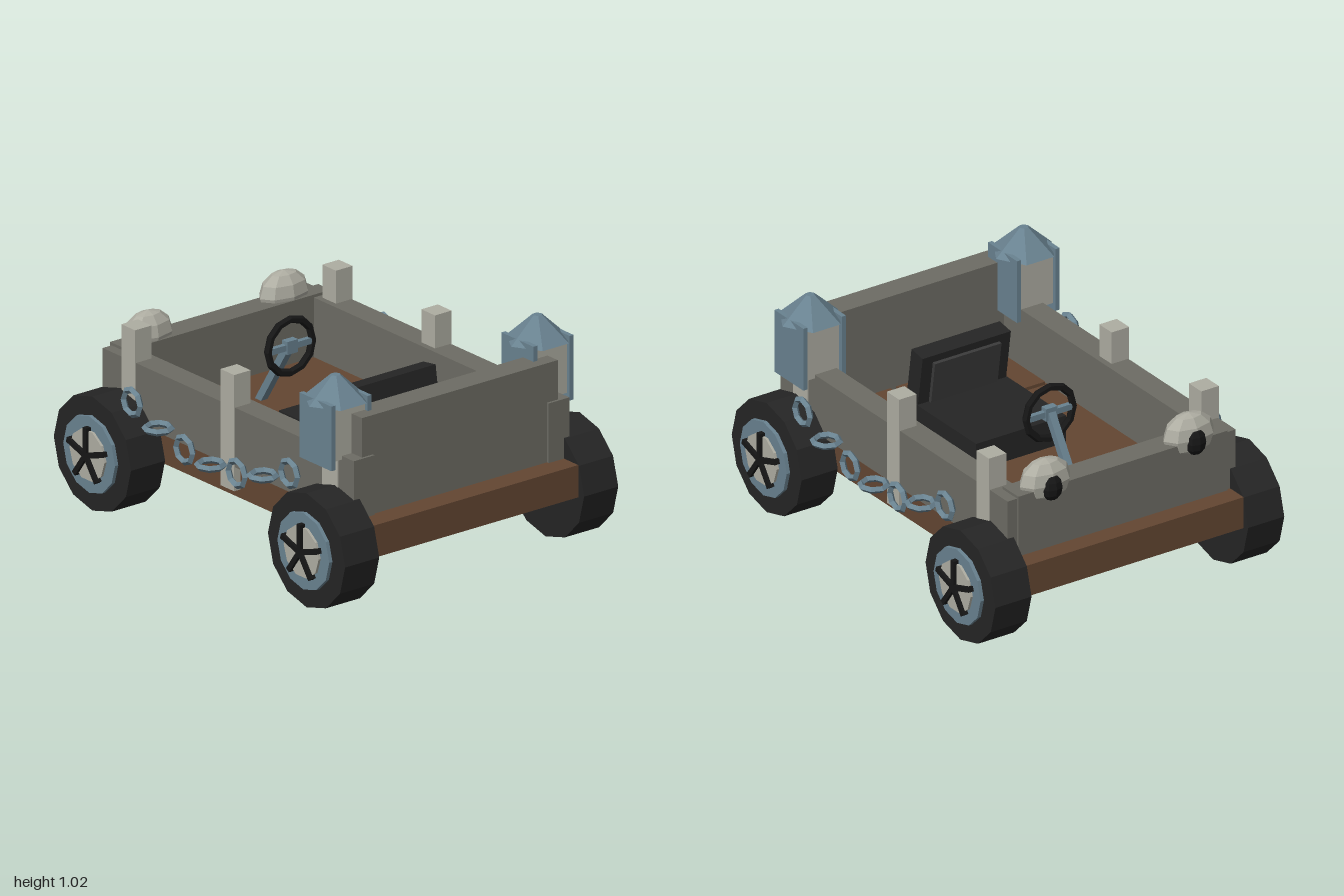
import * as THREE from 'three';

const mat = (name, color, flat = true) => {
  const m = new THREE.MeshStandardMaterial({ color, flatShading: flat });
  m.name = name;
  return m;
};

export function createModel() {
  const stone = mat('stone grey', 0x6d6c64);
  const wood = mat('brown wood', 0x634632);
  const pale = mat('pale stone', 0xaeada2);
  const steel = mat('blue steel', 0x698290);
  const rubber = mat('tyre black', 0x252525);
  const black = mat('black', 0x161616);
  const cushion = mat('dark grey cushion', 0x3a3a3a);

  const model = new THREE.Group();
  model.name = 'cart';

  const add = (parent, name, geo, material, x = 0, y = 0, z = 0) => {
    const mesh = new THREE.Mesh(geo, material);
    mesh.name = name;
    mesh.position.set(x, y, z);
    parent.add(mesh);
    return mesh;
  };
  // box given by its limits on each axis
  const block = (parent, name, material, x0, x1, y0, y1, z0, z1) =>
    add(parent, name, new THREE.BoxGeometry(Math.abs(x1 - x0), y1 - y0, z1 - z0), material,
      (x0 + x1) / 2, (y0 + y1) / 2, (z0 + z1) / 2);
  // cylinder lying along x, between two x values, with a vertex at the top
  const disc = (parent, name, material, r, x0, x1, sides) => {
    const geo = new THREE.CylinderGeometry(r, r, x1 - x0, sides).rotateZ(Math.PI / 2);
    return add(parent, name, geo, material, (x0 + x1) / 2, 0, 0);
  };

  // floor, loose boards and end walls
  block(model, 'floor', wood, -0.57, 0.57, 0.25, 0.4, -0.965, 0.96);
  for (let i = -2; i <= 2; i++) {
    const x = i * 0.195;
    block(model, 'floorBoard', wood, x - 0.083, x + 0.083, 0.4, 0.415, 0.4, 0.73);
  }
  block(model, 'frontWall', stone, -0.545, 0.545, 0.4, 0.86, 0.73, 0.85);
  block(model, 'backWall', stone, -0.55, 0.55, 0.4, 0.69, -0.872, -0.75);

  // wheel with rim, hub disc and five spokes
  const addWheel = (s, z) => {
    const wheel = new THREE.Group();
    wheel.name = 'wheel';
    disc(wheel, 'tyre', rubber, 0.265, 0.57, 0.76, 12);
    disc(wheel, 'rim', steel, 0.178, 0.75, 0.778, 12);
    disc(wheel, 'hubDisc', pale, 0.12, 0.77, 0.79, 10);
    for (let i = 0; i < 5; i++) {
      const geo = new THREE.BoxGeometry(0.03, 0.13, 0.024).translate(0, 0.065, 0);
      add(wheel, 'spoke', geo, black, 0.79).rotation.x = i * Math.PI * 0.4;
    }
    wheel.position.set(0, 0.265, z);
    if (s < 0) wheel.rotation.y = Math.PI;
    model.add(wheel);
  };

  // lantern: pale core, steel plates at the sides and a six-sided roof
  const addLantern = (s) => {
    const lantern = new THREE.Group();
    lantern.name = 'lantern';
    block(lantern, 'lanternCore', pale, -0.09, 0.09, 0.66, 0.905, -0.09, 0.09);
    for (const t of [-1, 1])
      block(lantern, 'lanternPlate', steel, t * 0.09, t * 0.112, 0.63, 0.93, -0.11, 0.11);
    const roof = new THREE.CylinderGeometry(0.022, 0.146, 0.115, 6).rotateY(Math.PI / 2);
    add(lantern, 'lanternRoof', roof, steel, 0, 0.9625, 0);
    lantern.position.set(s * 0.562, 0, 0.69);
    model.add(lantern);
  };

  // everything that repeats on the left and right
  const linkHeights = [0.425, 0.44, 0.485, 0.55];
  for (const s of [1, -1]) {
    block(model, 'sideWall', stone, s * 0.485, s * 0.6, 0.4, 0.677, -0.862, 0.862);
    for (const z of [0.0, -0.68])
      block(model, 'post', pale, s * 0.513, s * 0.605, 0.29, 0.83, z - 0.047, z + 0.047);
    block(model, 'lanternPost', pale, s * 0.513, s * 0.605, 0.29, 0.68, 0.65, 0.757);
    for (const z of [0.735, -0.735]) addWheel(s, z);
    addLantern(s);

    // sagging chain of alternating links
    for (let k = -3; k <= 3; k++) {
      const link = new THREE.TorusGeometry(0.058, 0.016, 4, 8);
      if (k % 2) link.rotateY(Math.PI / 2);
      else link.rotateX(Math.PI / 2);
      add(model, 'chainLink', link, steel, s * 0.702, linkHeights[Math.abs(k)], k * 0.18 + 0.005);
    }

    // headlamp with a dark lens at the back end
    const lamp = add(model, 'headlamp', new THREE.SphereGeometry(1, 8, 6), pale, s * 0.378, 0.705, -0.825);
    lamp.scale.set(0.132, 0.106, 0.075);
    const lens = add(model, 'lens', new THREE.SphereGeometry(1, 8, 6), black, s * 0.378, 0.69, -0.88);
    lens.scale.set(0.052, 0.062, 0.037);
  }

  // seat
  block(model, 'seatBase', rubber, -0.237, 0.237, 0.4, 0.53, -0.1, 0.385);
  const back = new THREE.Group();
  back.name = 'seatBack';
  block(back, 'backrest', rubber, -0.232, 0.232, -0.14, 0.14, -0.043, 0.043);
  block(back, 'backCushion', cushion, -0.175, 0.175, -0.1, 0.105, -0.06, -0.04);
  back.position.set(0, 0.635, 0.376);
  back.rotation.x = -0.15;
  model.add(back);

  // steering wheel and its column
  const steering = new THREE.Group();
  steering.name = 'steeringWheel';
  add(steering, 'steeringRing', new THREE.TorusGeometry(0.124, 0.018, 6, 12), black);
  block(steering, 'steeringBar', steel, -0.12, 0.12, -0.014, 0.014, -0.012, 0.012);
  block(steering, 'steeringHub', steel, -0.03, 0.03, -0.03, 0.03, -0.018, 0.018);
  steering.position.set(0, 0.705, -0.315);
  model.add(steering);
  const from = new THREE.Vector3(0, 0.705, -0.32), to = new THREE.Vector3(0, 0.39, -0.52);
  const column = add(model, 'steeringColumn',
    new THREE.BoxGeometry(0.036, 0.036, from.distanceTo(to)), steel);
  column.position.copy(from).add(to).multiplyScalar(0.5);
  column.lookAt(to);

  return model;
}
